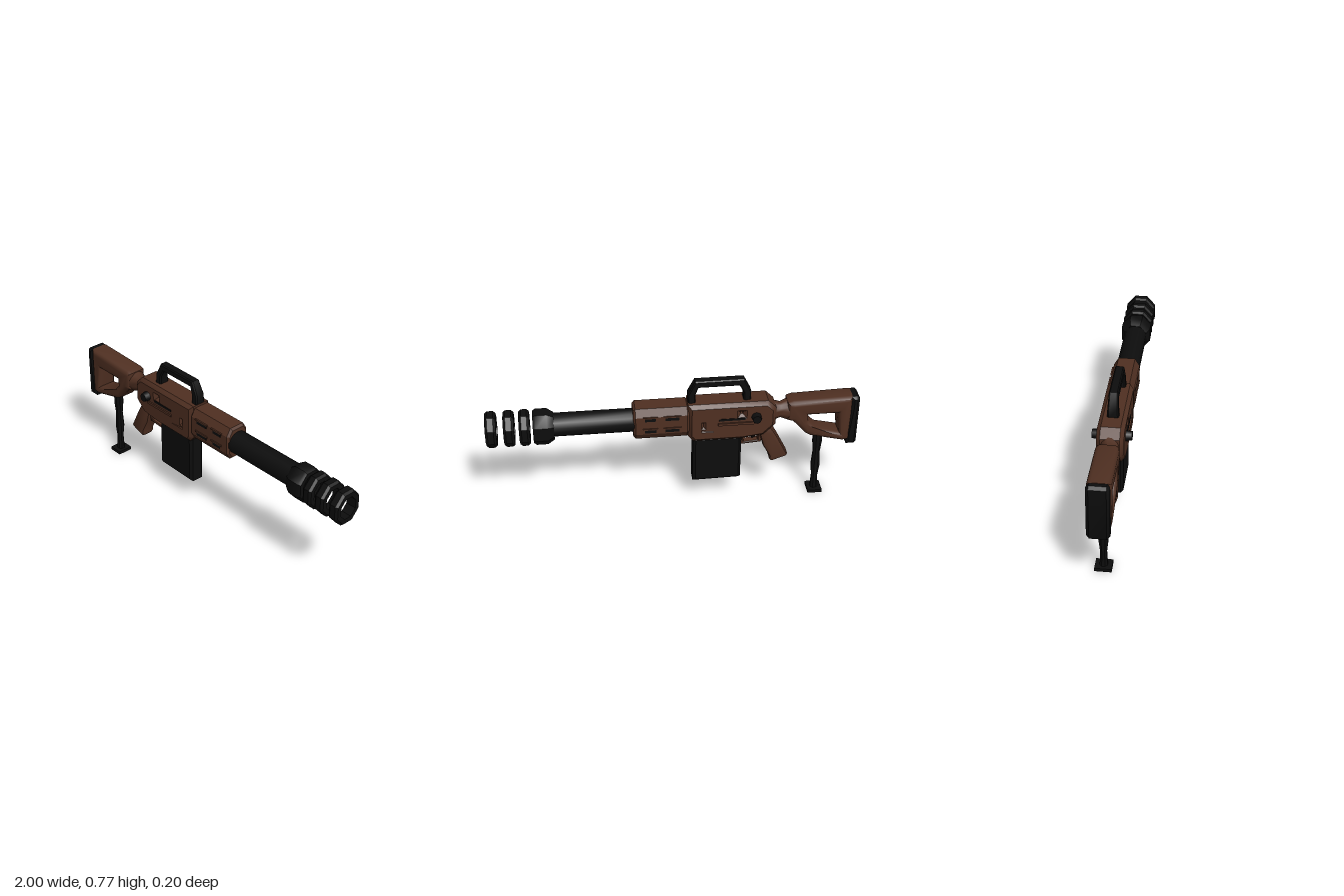
import * as THREE from 'three';
import { toCreasedNormals } from 'three/addons/utils/BufferGeometryUtils.js';

export function createModel() {
  const root = new THREE.Group();
  root.name = 'model';
  const brown = new THREE.MeshStandardMaterial({ color: 0x503022 });
  brown.name = 'brown';
  const black = new THREE.MeshStandardMaterial({ color: 0x0d0d0d });
  black.name = 'black';

  function add(name, geometry, material, x = 0, y = 0, z = 0) {
    const mesh = new THREE.Mesh(geometry, material);
    mesh.name = name;
    mesh.position.set(x, y, z);
    root.add(mesh);
    return mesh;
  }

  const vectors = (pts) => pts.map(([x, y]) => new THREE.Vector2(x, y));

  // Side outline thickened to half-width w, with chamfered or rounded edges
  function slab(outline, w, bevel, segments = 1, holes = []) {
    const shape = new THREE.Shape(vectors(outline));
    holes.forEach((h) => shape.holes.push(new THREE.Path(vectors(h))));
    const g = new THREE.ExtrudeGeometry(shape, {
      depth: 2 * (w - bevel), bevelEnabled: true, bevelSize: bevel, bevelThickness: bevel,
      bevelOffset: -bevel, bevelSegments: segments,
    });
    g.translate(0, 0, -(w - bevel));
    return toCreasedNormals(g, 0.65);
  }

  // Turned part along x from [x, radius] points
  function turned(profile, sides, crease = 0.6) {
    const g = new THREE.LatheGeometry(vectors(profile.map(([x, r]) => [r, x])), sides, Math.PI / sides);
    g.rotateZ(-Math.PI / 2);
    return toCreasedNormals(g, crease);
  }

  const rect = (x0, x1, y0, y1) => [[x0, y0], [x1, y0], [x1, y1], [x0, y1]];

  // Skeleton stock and butt pad
  add('stock', slab(
    [[-0.96, 0.36], [-0.92, 0.355], [-0.74, 0.4], [-0.71, 0.42], [-0.64, 0.5], [-0.61, 0.51],
      [-0.61, 0.615], [-0.64, 0.625], [-0.96, 0.635]],
    0.06, 0.025, 3,
    [[[-0.885, 0.535], [-0.9, 0.41], [-0.775, 0.44], [-0.725, 0.495], [-0.725, 0.535]]]), brown);
  add('buttPad', slab(
    [[-1, 0.345], [-0.99, 0.33], [-0.945, 0.33], [-0.94, 0.4], [-0.955, 0.56], [-0.955, 0.632],
      [-0.985, 0.635], [-1, 0.62]], 0.058, 0.015), black);
  const neck = add('neck', turned(
    [[-0.67, 0], [-0.66, 0.055], [-0.615, 0.055], [-0.575, 0.04], [-0.545, 0.048], [-0.47, 0.068], [-0.46, 0]],
    16, 1), brown, 0, 0.553);
  neck.scale.y = 1.12;

  // Rear support leg with foot
  const leg = [[0, 0.018], [0.022, 0.018], [0.018, 0.1], [0.026, 0.17], [0.02, 0.26], [0.027, 0.33], [0.027, 0.4], [0, 0.4]];
  add('supportLeg', toCreasedNormals(new THREE.LatheGeometry(vectors(leg), 8, Math.PI / 8), 0.6), black, -0.795);
  add('supportFoot', new THREE.BoxGeometry(0.08, 0.018, 0.088), black, -0.795, 0.009);

  // Receiver with openings right through it
  add('receiver', slab(
    [[-0.545, 0.6], [-0.5, 0.645], [-0.07, 0.645], [-0.07, 0.45], [-0.1, 0.415], [-0.37, 0.415],
      [-0.48, 0.43], [-0.545, 0.495]],
    0.07, 0.02, 1,
    [rect(-0.21, -0.16, 0.497, 0.522), rect(-0.145, -0.118, 0.515, 0.55), rect(-0.365, -0.352, 0.572, 0.585)]), brown);
  for (const side of [-1, 1]) {
    add('receiverSlot', new THREE.BoxGeometry(0.14, 0.012, 0.006), black, -0.305, 0.552, side * 0.07);
    add('receiverRail', new THREE.BoxGeometry(0.2, 0.014, 0.02), brown, -0.33, 0.525, side * 0.068);
    const knob = add('sideKnob', new THREE.CylinderGeometry(0.024, 0.028, 0.036, 8), black, -0.435, 0.56, side * 0.084);
    knob.rotation.x = side * Math.PI / 2;
  }

  // Grip, trigger guard and trigger
  add('grip', slab(
    [[-0.625, 0.275], [-0.615, 0.262], [-0.535, 0.235], [-0.525, 0.25], [-0.525, 0.27], [-0.485, 0.345],
      [-0.46, 0.44], [-0.52, 0.47], [-0.545, 0.43], [-0.565, 0.395]], 0.042, 0.016, 2), brown);
  add('triggerGuard', slab(
    [[-0.49, 0.44], [-0.475, 0.36], [-0.365, 0.352], [-0.35, 0.44]], 0.022, 0.004, 1,
    [[[-0.462, 0.42], [-0.457, 0.373], [-0.38, 0.366], [-0.375, 0.42]]]), brown);
  add('trigger', slab([[-0.45, 0.425], [-0.442, 0.385], [-0.425, 0.38], [-0.418, 0.425]], 0.01, 0.003), black);

  // Magazine
  add('magazine', slab(
    [[-0.365, 0.15], [-0.355, 0.142], [-0.1, 0.138], [-0.1, 0.425], [-0.365, 0.425]], 0.046, 0.014), black);

  // Carry handle, wider at its feet
  const handle = slab(
    [[-0.41, 0.64], [-0.41, 0.695], [-0.372, 0.77], [-0.11, 0.77], [-0.072, 0.695], [-0.072, 0.635],
      [-0.112, 0.635], [-0.112, 0.69], [-0.128, 0.732], [-0.348, 0.732], [-0.37, 0.69], [-0.37, 0.64]],
    0.024, 0.006);
  const p = handle.attributes.position;
  for (let i = 0; i < p.count; i++) p.setZ(i, p.getZ(i) * (1 + (0.77 - p.getY(i)) * 2.2));
  add('carryHandle', handle, black);

  // Handguard: a chamfered section drawn along x, with dark vents
  const section = new THREE.Shape(vectors(
    [[-0.07, 0.49], [-0.045, 0.45], [0.045, 0.45], [0.07, 0.49], [0.07, 0.595], [0.045, 0.637], [-0.045, 0.637], [-0.07, 0.595]]));
  const guard = new THREE.ExtrudeGeometry(section, {
    depth: 0.275, bevelEnabled: true, bevelSize: 0.012, bevelThickness: 0.012, bevelOffset: -0.012, bevelSegments: 1,
  });
  guard.rotateY(Math.PI / 2);
  add('handguard', guard, brown, -0.065);
  for (const side of [-1, 1]) {
    for (const y of [0.508, 0.58]) {
      for (const [x, w] of [[0.015, 0.075], [0.132, 0.06]]) {
        add('vent', new THREE.BoxGeometry(w, 0.02, 0.006), black, x, y, side * 0.069);
        add('ventLip', new THREE.BoxGeometry(w + 0.02, 0.008, 0.014), brown, x, y + 0.014, side * 0.069);
      }
    }
  }

  // Barrel and muzzle collar
  add('barrel', turned([[0.2, 0], [0.2, 0.064], [0.67, 0.064], [0.67, 0]], 14), black, 0, 0.543);
  const collar = add('muzzleCollar', turned(
    [[0.64, 0], [0.64, 0.068], [0.675, 0.089], [0.735, 0.089], [0.75, 0.08], [0.75, 0.056], [0.72, 0.05], [0.72, 0]], 8),
  black, 0, 0.536);
  collar.scale.y = 1.13;

  // Open eight-sided muzzle rings
  for (const [a, b] of [[0.767, 0.823], [0.848, 0.905], [0.942, 1]]) {
    const ring = add('muzzleRing', turned(
      [[a, 0.056], [a, 0.08], [a + 0.013, 0.09], [b - 0.013, 0.09], [b, 0.08], [b, 0.056], [a, 0.056]], 8),
    black, 0, 0.536);
    ring.scale.y = 1.13;
  }
  return root;
}
